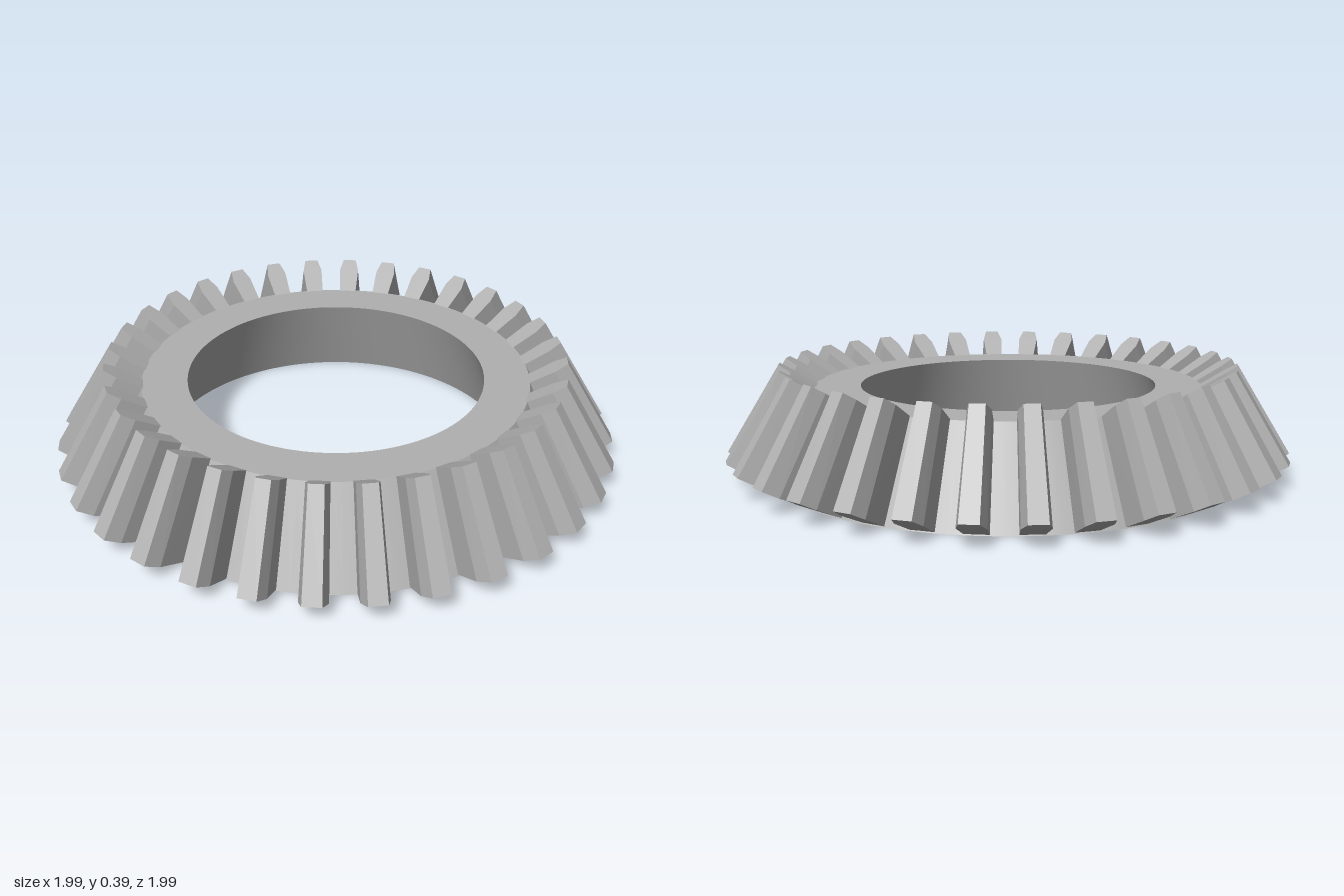
import * as THREE from 'three';
import { toCreasedNormals } from 'three/addons/utils/BufferGeometryUtils.js';
import { ConvexGeometry } from 'three/addons/geometries/ConvexGeometry.js';

const TEETH = 32;

// Hexagonal tooth section, from root to tip: [radius, height, full width]
function section(levels) {
  return levels.flatMap(([r, y, w]) => [
    new THREE.Vector3(-w / 2, y, r),
    new THREE.Vector3(w / 2, y, r),
  ]);
}

export function createModel() {
  const model = new THREE.Group();
  model.name = 'bevelGear';
  const steel = new THREE.MeshStandardMaterial({ color: 0xb0b0b0 });
  steel.name = 'steel grey';

  // Conical ring with a tapered bore
  const profile = [
    [0.64, 0], [0.845, 0], [0.685, 0.31], [0.525, 0.31], [0.64, 0],
  ].map(([r, y]) => new THREE.Vector2(r, y));
  const ring = new THREE.Mesh(
    toCreasedNormals(new THREE.LatheGeometry(profile, 128), 0.5), steel);
  ring.name = 'gearBody';
  model.add(ring);

  // One tapered tooth, wide at the base of the cone and narrow at the top
  const toothGeometry = new ConvexGeometry([
    ...section([[0.835, 0, 0.078], [0.945, 0.052, 0.092], [0.997, 0.08, 0.062]]),
    ...section([[0.675, 0.307, 0.063], [0.766, 0.362, 0.074], [0.81, 0.388, 0.05]]),
  ]);

  const teeth = new THREE.Group();
  teeth.name = 'teeth';
  for (let i = 0; i < TEETH; i++) {
    const tooth = new THREE.Mesh(toothGeometry, steel);
    tooth.name = 'tooth';
    tooth.rotation.y = ((i + 0.5) / TEETH) * Math.PI * 2;
    teeth.add(tooth);
  }
  model.add(teeth);
  return model;
}
